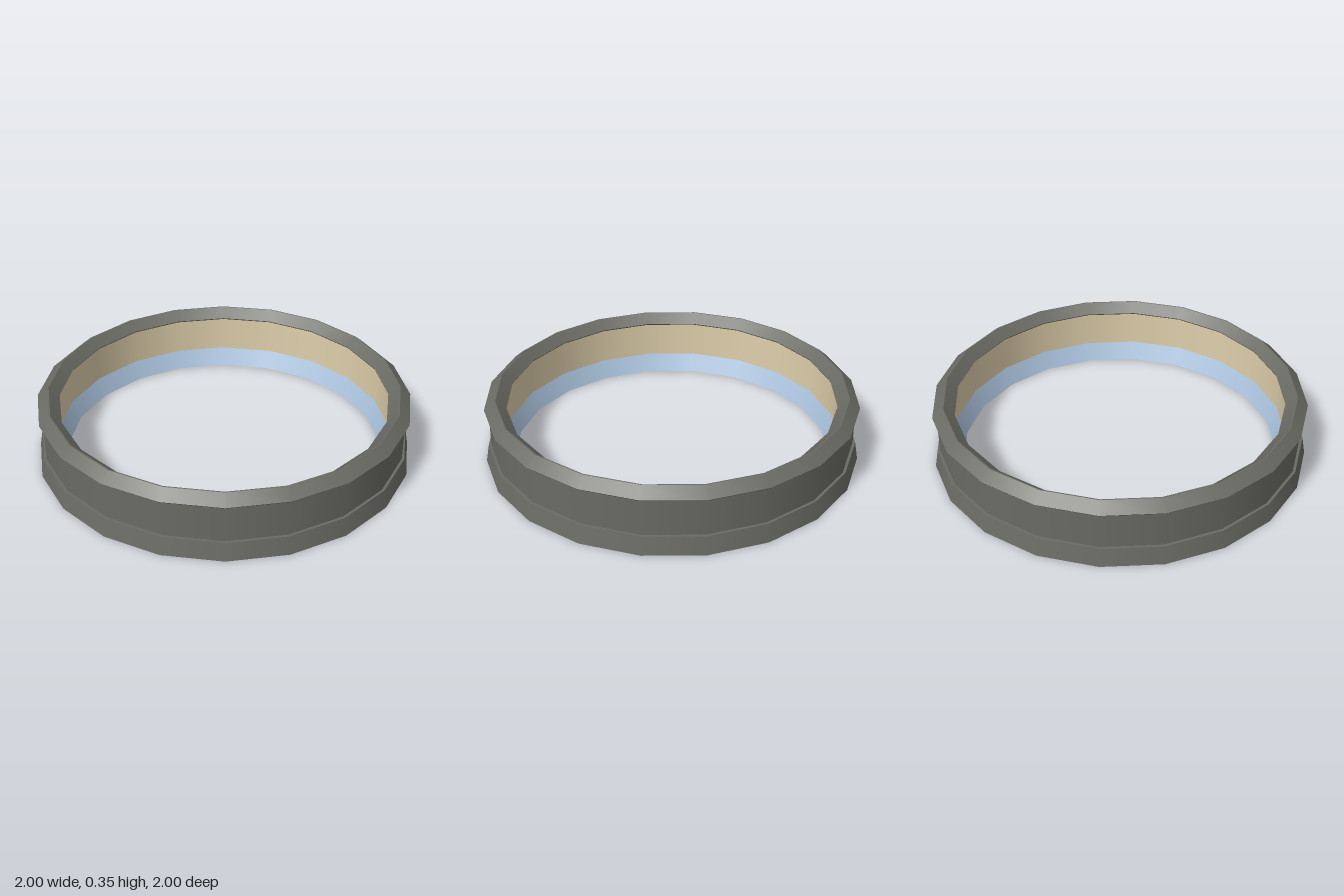
import * as THREE from 'three';
import { mergeGeometries } from 'three/addons/utils/BufferGeometryUtils.js';

const SIDES = 20;

// Revolves a [radius, height] profile; each straight run is its own strip,
// so the ring is smooth around but creased between runs.
function ring(name, profile, material) {
  const strips = [];
  for (let i = 0; i < profile.length - 1; i++) {
    const ends = [profile[i], profile[i + 1]].map(([r, y]) => new THREE.Vector2(r, y));
    strips.push(new THREE.LatheGeometry(ends, SIDES));
  }
  const mesh = new THREE.Mesh(mergeGeometries(strips), material);
  mesh.name = name;
  return mesh;
}

export function createModel() {
  const darkGray = new THREE.MeshStandardMaterial({ color: 0x6b6b65 });
  darkGray.name = 'dark gray';
  const beige = new THREE.MeshStandardMaterial({ color: 0xdfcfab });
  beige.name = 'beige';
  const paleBlue = new THREE.MeshStandardMaterial({ color: 0xa8c1db });
  paleBlue.name = 'pale blue';

  const group = new THREE.Group();
  group.name = 'ringWall';

  // Underside, tapered skirting and its small ledge
  group.add(ring('baseSkirting', [[0.848, 0], [1, 0], [0.982, 0.097], [0.968, 0.097]], darkGray));
  // Upright outer wall
  group.add(ring('outerWall', [[0.968, 0.097], [0.968, 0.3]], darkGray));
  // Overhanging coping with a ridge
  group.add(ring('coping', [
    [0.968, 0.3], [0.984, 0.3], [0.99, 0.307], [0.935, 0.355], [0.928, 0.355],
    [0.873, 0.307], [0.877, 0.3], [0.893, 0.3],
  ], darkGray));
  // Inner wall face and sloped inner skirting
  group.add(ring('innerWall', [[0.893, 0.3], [0.893, 0.097]], beige));
  group.add(ring('innerSkirting', [[0.893, 0.097], [0.848, 0]], paleBlue));

  return group;
}
